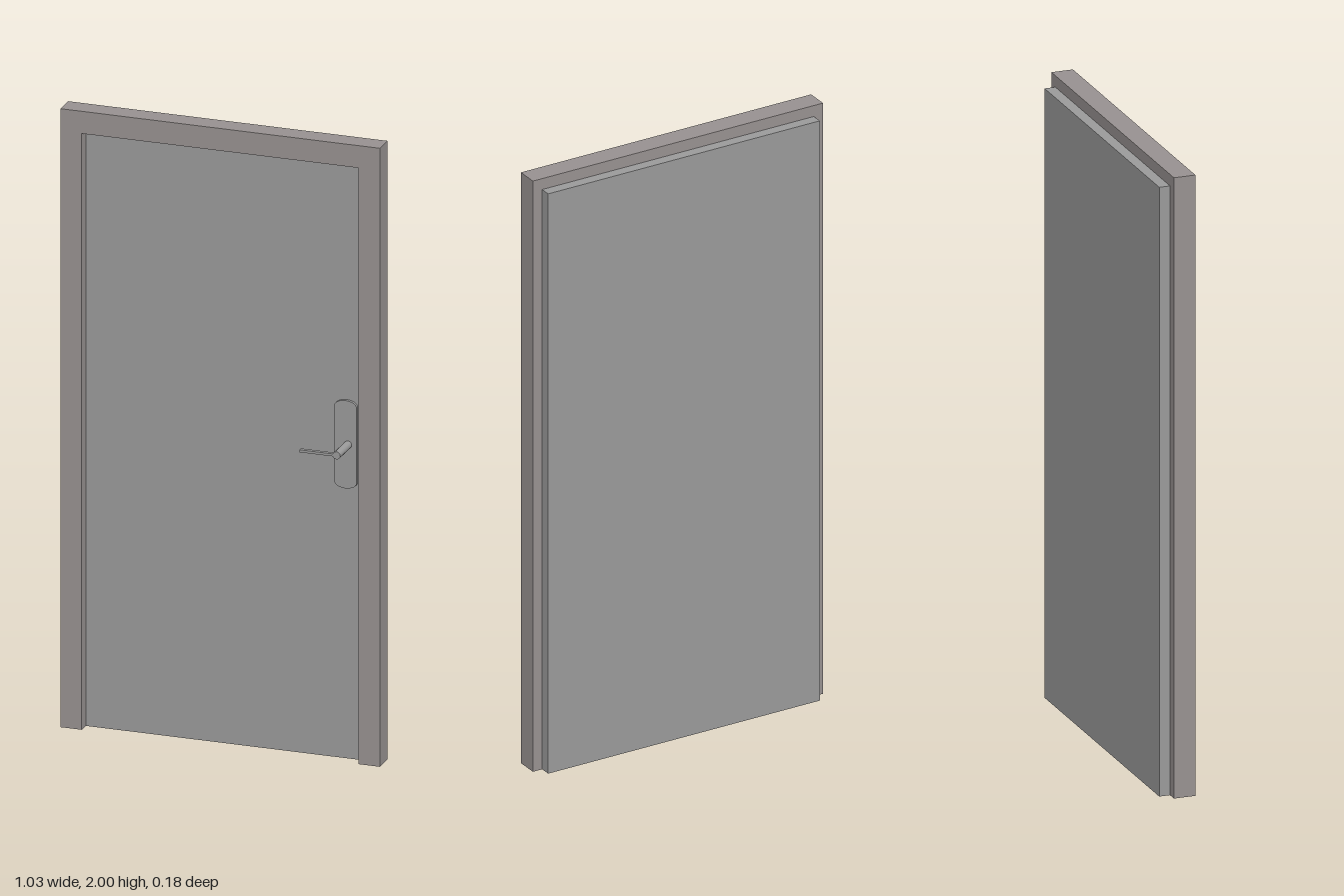
import * as THREE from 'three';

const grey = new THREE.MeshStandardMaterial({ color: 0x9a9a9a });
const frameMaterial = new THREE.MeshStandardMaterial({ color: 0x979190 });

function add(parent, name, geometry, material, x = 0, y = 0, z = 0) {
  const mesh = new THREE.Mesh(geometry, material);
  mesh.name = name;
  mesh.position.set(x, y, z);
  parent.add(mesh);
  return mesh;
}

// Extrudes a shape along z
function extrude(shape, depth) {
  return new THREE.ExtrudeGeometry(shape, { depth, bevelEnabled: false, curveSegments: 8 });
}

export function createModel() {
  const door = new THREE.Group();
  door.name = 'door';

  // Frame: two jambs and a head in one piece, open at the bottom
  const W = 0.516, w = 0.447, top = 1.928;
  const frame = new THREE.Shape([
    [-W, 0], [-w, 0], [-w, top], [w, top], [w, 0], [W, 0], [W, 2], [-W, 2],
  ].map(([x, y]) => new THREE.Vector2(x, y)));
  add(door, 'frame', extrude(frame, 0.07), frameMaterial, 0, 0, -0.055);

  // Rebated leaf: core inside the opening, wider lip overlapping the back
  const leaf = new THREE.Group();
  leaf.name = 'leaf';
  door.add(leaf);
  const lipTop = 1.963, front = -0.022;
  add(leaf, 'leafCore', new THREE.BoxGeometry(2 * w, top, 0.034),
    grey, 0, top / 2, front - 0.017);
  add(leaf, 'leafLip', new THREE.BoxGeometry(0.966, lipTop, 0.035),
    grey, 0, lipTop / 2, -0.0725);

  // Handle: backplate with curved ends, spindle and lever
  const handle = new THREE.Group();
  handle.name = 'handle';
  handle.position.set(0.395, 1.018, front);
  door.add(handle);
  const plate = new THREE.Shape();
  plate.absellipse(0, 0.122, 0.036, 0.02, 0, Math.PI);
  plate.absellipse(0, -0.122, 0.036, 0.02, Math.PI, 2 * Math.PI);
  add(handle, 'backplate', extrude(plate, 0.01), grey);

  const reach = 0.09 - front;
  add(handle, 'spindle', new THREE.CylinderGeometry(0.0125, 0.0125, reach, 16),
    grey, 0.008, 0, reach / 2).rotation.x = Math.PI / 2;
  add(handle, 'lever', new THREE.BoxGeometry(0.115, 0.008, 0.013),
    grey, -0.0545, 0, reach - 0.0065);

  return door;
}
